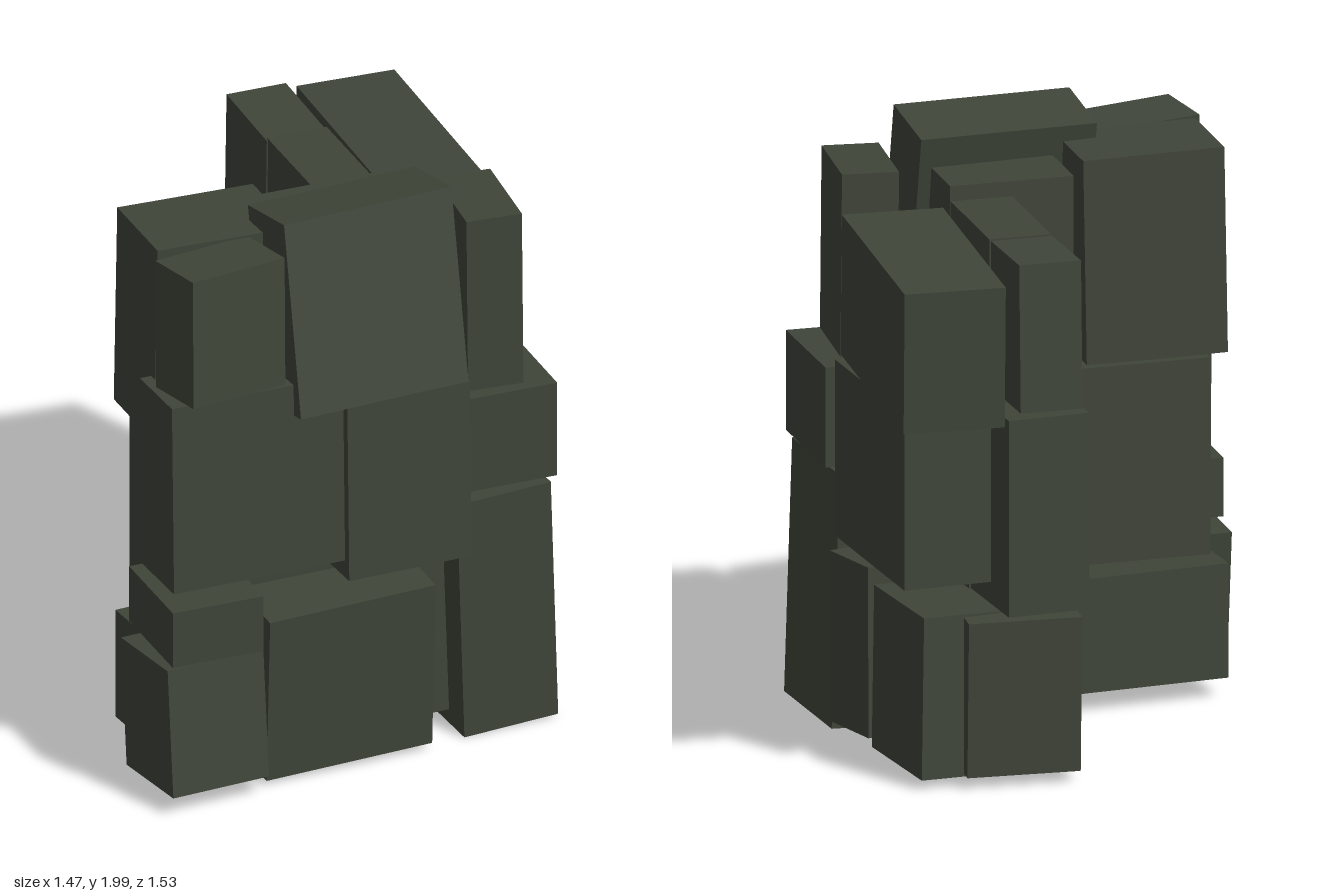
import * as THREE from 'three';

export function createModel() {
  const model = new THREE.Group();
  const stone = new THREE.MeshStandardMaterial({ color: 0x3f4539 });
  stone.name = 'darkGreenStone';

  // centre, size, then tilt in degrees about x, y and z
  function block(name, [x, y, z], [w, h, d], [rx, ry, rz] = [0, 0, 0]) {
    const mesh = new THREE.Mesh(new THREE.BoxGeometry(w, h, d), stone);
    mesh.name = name;
    mesh.position.set(x, y, z);
    const rad = THREE.MathUtils.degToRad;
    mesh.rotation.set(rad(rx), rad(ry), rad(rz));
    model.add(mesh);
  }

  // front wall, bottom course
  block('frontBottomLeftBlock', [-0.54, 0.285, 0.565], [0.35, 0.45, 0.34], [-5, 4, 0.5]);
  block('frontBottomMiddleBlock', [-0.045, 0.34, 0.49], [0.6, 0.6, 0.38], [4, 3, 0.5]);
  block('cornerBottomBlock', [0.54, 0.445, 0.365], [0.34, 0.86, 0.47], [0.5, 3, 2]);
  block('smallLedgeBlock', [-0.54, 0.65, 0.575], [0.32, 0.2, 0.37]);

  // front wall, middle course
  block('frontMiddleLeftBlock', [-0.355, 1.1, 0.525], [0.61, 0.67, 0.26], [-1.5, 1, 0]);
  block('frontMiddleBlock', [0.17, 1.015, 0.51], [0.44, 0.63, 0.32], [-1.5, 2, 0]);
  block('cornerMiddleBlock', [0.54, 1.075, 0.375], [0.37, 0.34, 0.46], [0.5, 0, 0]);

  // front wall, top course
  block('frontTopLeftBlock', [-0.45, 1.675, 0.565], [0.36, 0.45, 0.22], [-3, 11, -1]);
  block('leaningTopBlock', [0.07, 1.645, 0.488], [0.61, 0.67, 0.27], [-10, 3.5, 1]);
  block('cornerTopBlock', [0.535, 1.56, 0.4], [0.19, 0.62, 0.34], [0, -5, 0.5]);

  // back of the front wall
  block('rearBottomBlock', [-0.22, 0.27, 0.31], [0.82, 0.39, 0.4], [0, 5, 0]);
  block('rearMiddleBlock', [-0.22, 0.865, 0.26], [0.67, 0.67, 0.42], [0, 1, 0]);
  block('rearTopLeftBlock', [-0.38, 1.55, 0.255], [0.48, 0.7, 0.34], [0, 0, -1]);
  block('rearTopMiddleBlock', [0.11, 1.53, 0.25], [0.42, 0.64, 0.34]);

  // side wall, bottom course
  block('innerBottomFrontBlock', [0.265, 0.35, 0.12], [0.24, 0.58, 0.76], [0, 4, 0]);
  block('sideBottomFrontBlock', [0.53, 0.35, 0.02], [0.34, 0.58, 0.24], [0.5, 15, 0]);
  block('sideBottomRearBlock', [0.45, 0.31, -0.35], [0.36, 0.55, 0.43], [0.5, 6, 1]);
  block('innerBottomRearBlock', [0.27, 0.315, -0.515], [0.38, 0.53, 0.25], [-2, -3, 0]);

  // side wall, middle course
  block('sideMiddleBlock', [0.51, 0.975, -0.185], [0.33, 0.6, 0.67], [0, 3.5, 0]);
  block('innerMiddleBlock', [0.24, 0.9, -0.09], [0.29, 0.52, 0.44], [0, -2, 0]);
  block('rearMiddleEndBlock', [0.215, 0.935, -0.49], [0.28, 0.67, 0.36], [0, 4, 0]);
  block('innerStubBlock', [0.09, 1.22, -0.06], [0.18, 0.19, 0.28]);

  // side wall, top course
  block('sideTopBlock', [0.53, 1.525, -0.325], [0.34, 0.48, 0.86], [-1.5, -2.5, 0]);
  block('innerTopRearBlock', [0.21, 1.55, -0.545], [0.21, 0.5, 0.34], [2, 0, 0]);
  block('innerTopFrontBlock', [0.215, 1.545, -0.15], [0.21, 0.51, 0.45]);

  return model;
}
